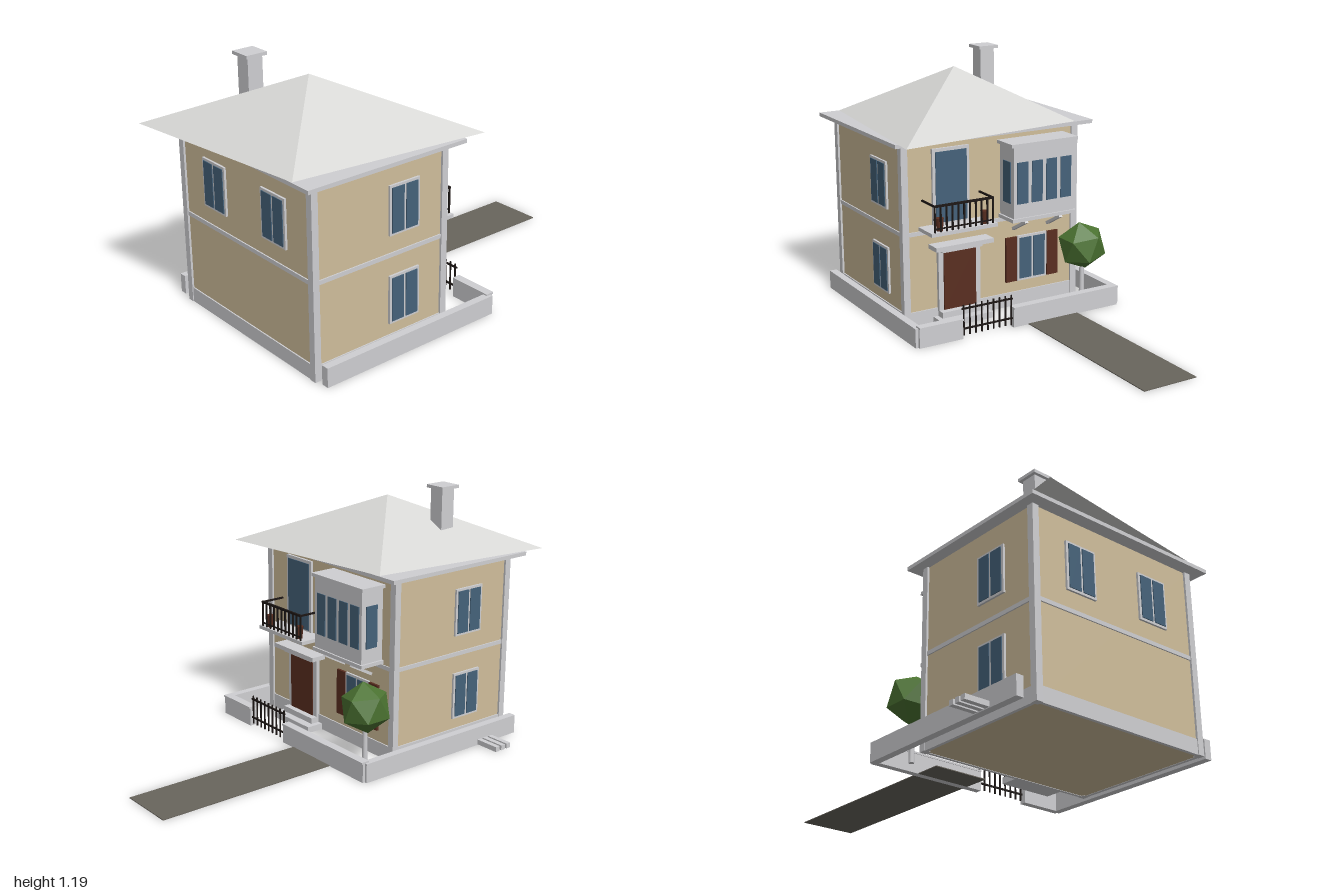
import * as THREE from 'three';

const mat = (name, color) => {
  const m = new THREE.MeshStandardMaterial({ color });
  m.name = name;
  return m;
};

export function createModel() {
  const house = new THREE.Group();
  house.name = 'house';
  const wall = mat('sand wall', 0xd0be9b);
  const trim = mat('pale grey trim', 0xcfcfd2);
  const roofMat = mat('roof grey', 0xd6d6d4);
  const glass = mat('blue glass', 0x45627a);
  const wood = mat('brown wood', 0x5a2e20);
  const iron = mat('black iron', 0x1c1614);
  const paving = mat('paving grey', 0x69655d);
  const leaf = mat('leaf green', 0x4c7432);

  const add = (name, geo, m, parent = house) => {
    const mesh = new THREE.Mesh(geo, m);
    mesh.name = name;
    parent.add(mesh);
    return mesh;
  };
  // Box given by its limits on each axis
  const box = (name, m, x0, x1, y0, y1, z0, z1, parent = house) => {
    const b = add(name, new THREE.BoxGeometry(x1 - x0, y1 - y0, z1 - z0), m, parent);
    b.position.set((x0 + x1) / 2, (y0 + y1) / 2, (z0 + z1) / 2);
    return b;
  };

  // Walls, corner pillars, plinth and floor band
  box('walls', wall, -0.39, 0.53, 0.002, 0.865, 0.13, 0.83);
  for (const x of [-0.4, 0.507])
    for (const z of [0.12, 0.808])
      box('cornerPillar', trim, x, x + 0.033, 0, 0.863, z, z + 0.032);
  for (const [name, y0, y1] of [['plinth', 0, 0.07], ['floorBand', 0.432, 0.451]]) {
    box(name + 'Front', trim, -0.37, 0.51, y0, y1, 0.82, 0.836);
    box(name + 'Back', trim, -0.37, 0.51, y0, y1, 0.124, 0.14);
    box(name + 'Left', trim, 0.52, 0.536, y0, y1, 0.15, 0.81);
    box(name + 'Right', trim, -0.396, -0.38, y0, y1, 0.15, 0.81);
  }

  // Eaves slab and skewed pyramid roof
  box('eaves', trim, -0.447, 0.592, 0.862, 0.88, 0.065, 0.893);
  let roofGeo = new THREE.ConeGeometry(1, 0.24, 4, 1);
  roofGeo.applyMatrix4(new THREE.Matrix4().makeBasis(
    new THREE.Vector3(0.42, 0, 0.41),
    new THREE.Vector3(0, 1, 0),
    new THREE.Vector3(-0.52, 0, 0.52)));
  roofGeo = roofGeo.toNonIndexed();
  roofGeo.computeVertexNormals();
  add('roof', roofGeo, roofMat).position.set(0.07, 1.001, 0.48);

  // Chimney
  box('chimney', trim, -0.205, -0.13, 0.9, 1.176, 0.572, 0.647);
  box('chimneyCap', trim, -0.22, -0.116, 1.175, 1.19, 0.557, 0.662);

  // Two-pane windows, built facing +z and turned to their wall
  const makeWindow = (x, y, z, turn) => {
    const g = new THREE.Group();
    g.name = 'window';
    box('windowFrame', trim, -0.082, 0.082, -0.112, 0.112, -0.01, 0.01, g);
    for (const s of [-1, 1]) {
      const p = box('windowPane', glass, -0.032, 0.032, -0.101, 0.101, 0.008, 0.014, g);
      p.position.x = s * 0.038;
    }
    g.position.set(x, y, z);
    g.rotation.y = turn;
    house.add(g);
  };
  makeWindow(-0.138, 0.643, 0.83, 0);
  makeWindow(0.282, 0.643, 0.83, 0);
  for (const y of [0.235, 0.643]) {
    makeWindow(0.53, y, 0.36, Math.PI / 2);
    makeWindow(-0.39, y, 0.575, -Math.PI / 2);
  }
  makeWindow(-0.145, 0.235, 0.13, Math.PI);
  for (const x of [-0.29, -0.06])
    box('shutter', wood, x, x + 0.06, 0.125, 0.345, 0.118, 0.135);

  // Entrance: door, frame, steps and canopy
  box('doorFrame', trim, 0.145, 0.365, 0.02, 0.362, 0.112, 0.135);
  box('door', wood, 0.172, 0.34, 0.06, 0.345, 0.106, 0.115);
  box('upperStep', trim, 0.145, 0.365, 0, 0.058, 0.08, 0.135);
  box('lowerStep', trim, 0.12, 0.39, 0, 0.03, 0.04, 0.135);
  box('canopyBase', trim, 0.15, 0.36, 0.345, 0.366, 0.08, 0.135);
  box('canopy', trim, 0.105, 0.405, 0.362, 0.383, 0.055, 0.135);

  // Balcony with glazed door, railing and pots
  box('balconyDoorFrame', trim, 0.195, 0.385, 0.465, 0.825, 0.118, 0.135);
  box('balconyDoorGlass', glass, 0.21, 0.37, 0.48, 0.81, 0.114, 0.12);
  box('balconySlab', trim, 0.115, 0.455, 0.455, 0.472, 0.0, 0.135);
  box('handrail', iron, 0.132, 0.438, 0.588, 0.598, 0.004, 0.014);
  box('lowerRail', iron, 0.132, 0.438, 0.485, 0.491, 0.006, 0.012);
  for (const x of [0.132, 0.43])
    box('sideHandrail', iron, x, x + 0.008, 0.589, 0.597, 0.004, 0.13);
  for (let i = 0; i < 11; i++) {
    const x = 0.132 + i * 0.0299;
    box('baluster', iron, x, x + 0.007, 0.47, 0.592, 0.005, 0.012);
  }
  for (const x of [0.17, 0.4])
    add('pot', new THREE.CylinderGeometry(0.019, 0.014, 0.06, 10), wood).position.set(x, 0.502, 0.028);

  // Bay window on slanted struts
  box('bay', trim, -0.305, 0.025, 0.465, 0.815, 0.008, 0.135);
  box('bayRoof', trim, -0.32, 0.04, 0.81, 0.826, -0.002, 0.135);
  box('bayFloor', trim, -0.315, 0.035, 0.455, 0.472, 0.0, 0.135);
  for (let i = 0; i < 4; i++) {
    const x = -0.288 + i * 0.079;
    box('bayPane', glass, x, x + 0.058, 0.54, 0.737, 0.004, 0.012);
  }
  for (const x of [-0.309, 0.021])
    box('baySidePane', glass, x, x + 0.008, 0.54, 0.737, 0.033, 0.097);
  for (const x of [-0.235, -0.045]) {
    const strut = add('bayStrut', new THREE.BoxGeometry(0.018, 0.014, 0.13), trim);
    strut.position.set(x, 0.418, 0.068);
    strut.rotation.x = 0.5;
  }

  // Low yard wall
  box('yardWallRight', trim, -0.488, -0.452, 0, 0.09, -0.11, 0.825);
  box('yardWallLeft', trim, 0.566, 0.602, 0, 0.09, -0.11, 0.825);
  for (const [x0, x1] of [[-0.476, 0.105], [0.37, 0.588]]) {
    box('yardWallBack', trim, x0, x1, 0, 0.09, -0.122, -0.09);
    box('yardWallCap', trim, x0, x1, 0.088, 0.097, -0.128, -0.087);
  }

  // Iron gate
  for (const y of [0.04, 0.135])
    box('gateRail', iron, 0.105, 0.37, y, y + 0.007, -0.114, -0.106);
  for (let i = 0; i < 9; i++) {
    const x = 0.112 + i * 0.031;
    box('gateBar', iron, x - 0.003, x + 0.003, 0.012, 0.156, -0.113, -0.107);
  }

  // Path and side slats
  box('path', paving, -0.245, 0.025, 0, 0.004, -1, 0.035);
  for (let i = 0; i < 3; i++) {
    const z = 0.576 + i * 0.035;
    box('sideSlat', trim, -0.608, -0.487, 0.004, 0.028, z, z + 0.024);
  }

  // Tree
  add('treeTrunk', new THREE.CylinderGeometry(0.011, 0.013, 0.22, 8), trim).position.set(-0.35, 0.11, -0.003);
  const crown = add('treeCrown', new THREE.IcosahedronGeometry(0.119, 0), leaf);
  crown.position.set(-0.35, 0.288, -0.003);
  crown.rotation.z = 0.4;

  return house;
}
